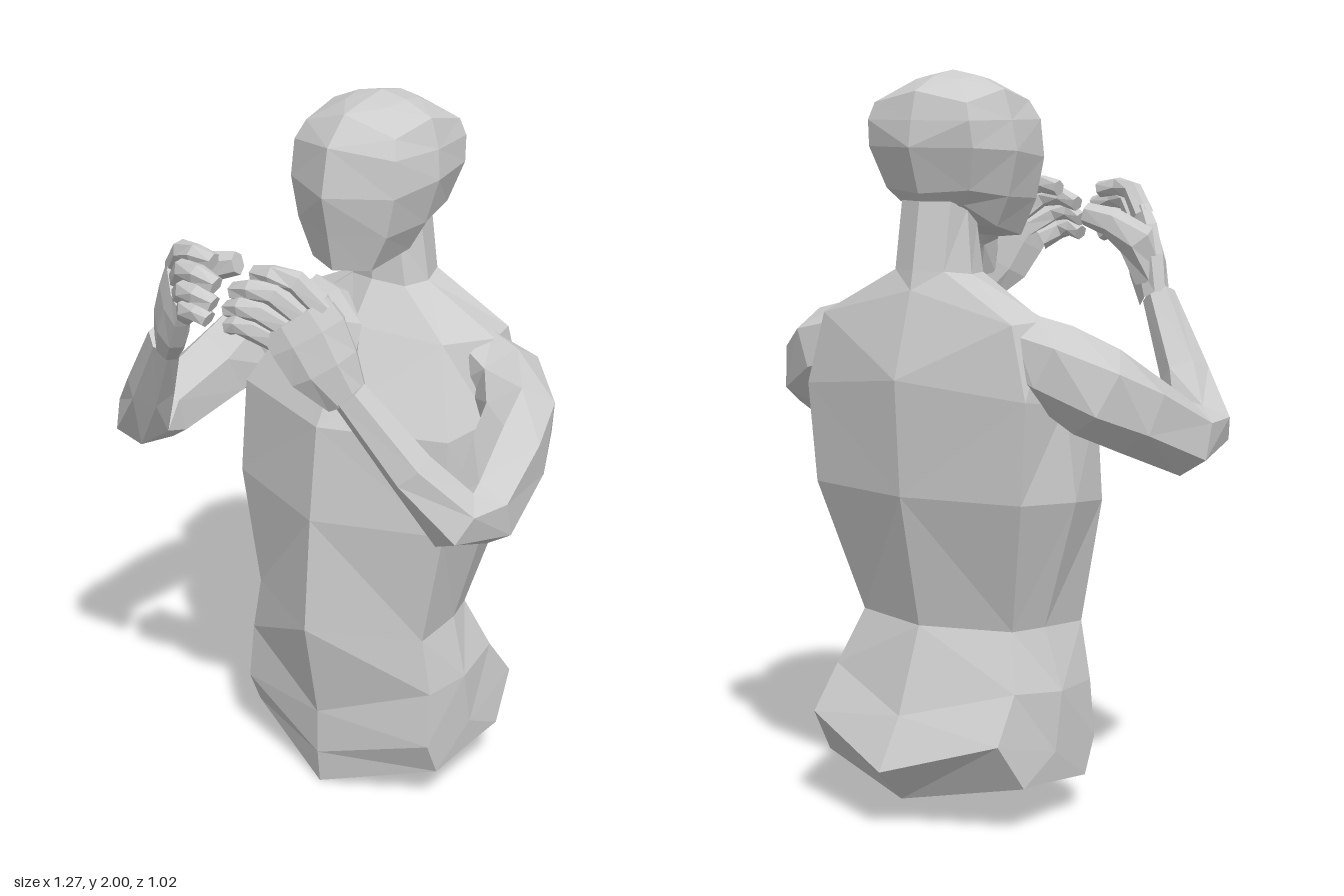
import * as THREE from 'three';

const clay = new THREE.MeshStandardMaterial({ color: 0xcccccc, flatShading: true });
clay.name = 'clay grey';

const distance = (a, b) => Math.hypot(a[0] - b[0], a[1] - b[1], a[2] - b[2]);
const centre = ring => [0, 1, 2].map(k => ring.reduce((s, p) => s + p[k], 0) / ring.length);

// Skin a stack of closed rings; an end with a tip point is closed by a fan, else left open
function loft(name, rings, startTip, endTip) {
  const pos = [];
  const tri = (a, b, c) => pos.push(...a, ...b, ...c);
  const n = rings[0].length, first = rings[0], last = rings[rings.length - 1];
  for (let j = 0; j < n; j++) {
    const k = (j + 1) % n;
    for (let i = 0; i < rings.length - 1; i++) {
      const a = rings[i][j], b = rings[i][k], c = rings[i + 1][k], d = rings[i + 1][j];
      // split each quad along its shorter diagonal, so both sides match
      if (distance(a, c) < distance(b, d)) { tri(a, b, c); tri(a, c, d); }
      else { tri(a, b, d); tri(b, c, d); }
    }
    if (startTip) tri(startTip, first[k], first[j]);
    if (endTip) tri(endTip, last[j], last[k]);
  }
  const g = new THREE.BufferGeometry();
  g.setAttribute('position', new THREE.Float32BufferAttribute(pos, 3));
  g.computeVertexNormals();
  const mesh = new THREE.Mesh(g, clay);
  mesh.name = name;
  return mesh;
}

// Complete a half ring (front centre ... back centre) by mirroring it across x
const fullRing = half => [...half, ...half.slice(1, -1).reverse().map(([x, y, z]) => [-x, y, z])];

// Rings along a path of [x, y, z, thickness, width]; width lies along ref
function limbRings(path, sides, ref) {
  const P = path.map(p => new THREE.Vector3(p[0], p[1], p[2]));
  const up = new THREE.Vector3(...ref);
  return path.map((p, i) => {
    const t = P[Math.min(i + 1, P.length - 1)].clone().sub(P[Math.max(i - 1, 0)]).normalize();
    const u = up.clone().cross(t).normalize(), v = t.clone().cross(u);
    return Array.from({ length: sides }, (_, k) => {
      const a = (k + 0.5) / sides * Math.PI * 2;
      return P[i].clone().addScaledVector(u, Math.cos(a) * p[3])
        .addScaledVector(v, Math.sin(a) * p[4]).toArray();
    });
  });
}

// One limb for the chosen side (+1 left, -1 right); its root is open, buried in the body
function limb(name, side, path, sides, ref) {
  let rings = limbRings(path, sides, ref);
  if (side < 0) rings = rings.map(r => r.map(([x, y, z]) => [-x, y, z]).reverse());
  return loft(name, rings, null, centre(rings[rings.length - 1]));
}

function buildArm(side) {
  const arm = new THREE.Group();
  arm.name = side > 0 ? 'leftArm' : 'rightArm';
  // Shoulder, elbow and forearm to the wrist
  arm.add(limb('armAndForearm', side, [
    [0.29, 1.28, -0.255, 0.09, 0.10], [0.37, 1.25, -0.255, 0.10, 0.115],
    [0.465, 1.18, -0.19, 0.105, 0.125], [0.51, 1.12, -0.08, 0.105, 0.115],
    [0.56, 1.03, 0.10, 0.088, 0.10], [0.545, 1.045, 0.205, 0.085, 0.085],
    [0.45, 1.18, 0.27, 0.068, 0.066], [0.315, 1.38, 0.35, 0.045, 0.05]], 6, [0, 1, 0]));

  // Hand: flat palm, four curled fingers, thumb
  const spread = [0.65, 0.55, -0.55];
  arm.add(limb('palm', side, [
    [0.305, 1.365, 0.345, 0.04, 0.06], [0.26, 1.45, 0.38, 0.046, 0.1],
    [0.225, 1.53, 0.40, 0.04, 0.11], [0.195, 1.58, 0.415, 0.03, 0.105]], 8, spread));
  const fingers = {
    indexFinger: [[0.25, 1.595, 0.37], [0.19, 1.665, 0.405], [0.13, 1.675, 0.425], [0.07, 1.665, 0.42]],
    middleFinger: [[0.217, 1.568, 0.397], [0.15, 1.635, 0.445], [0.09, 1.64, 0.46], [0.03, 1.62, 0.455]],
    ringFinger: [[0.183, 1.545, 0.423], [0.125, 1.59, 0.47], [0.075, 1.595, 0.48], [0.025, 1.575, 0.472]],
    littleFinger: [[0.15, 1.515, 0.44], [0.11, 1.545, 0.48], [0.07, 1.55, 0.485], [0.035, 1.535, 0.482]],
  };
  for (const [name, pts] of Object.entries(fingers)) {
    arm.add(limb(name, side, pts.map((p, i) => [...p, 0.031 - i * 0.003, 0.034 - i * 0.003]), 6, spread));
  }
  arm.add(limb('thumb', side, [
    [0.285, 1.43, 0.35, 0.042, 0.05], [0.265, 1.535, 0.31, 0.05, 0.055],
    [0.205, 1.585, 0.272, 0.04, 0.042], [0.13, 1.605, 0.26, 0.028, 0.032]], 6, [0, 1, 0]));
  return arm;
}

export function createModel() {
  const model = new THREE.Group();
  model.name = 'bust';

  // Torso, from hips over the shoulders to the neck base
  const neckBase = [[0, 1.48, -0.14], [0.09, 1.47, -0.17], [0.11, 1.47, -0.25], [0.08, 1.48, -0.33], [0, 1.48, -0.36]];
  model.add(loft('torso', [
    [[0, 0, 0.09], [0.33, 0.10, -0.03], [0.33, 0.12, -0.2], [0.33, 0.13, -0.32], [0, 0.07, -0.42]],
    [[0, 0.10, 0.10], [0.33, 0.20, 0.015], [0.335, 0.20, -0.18], [0.31, 0.26, -0.41], [0, 0.165, -0.515]],
    [[0, 0.235, 0.10], [0.325, 0.36, 0], [0.335, 0.36, -0.15], [0.30, 0.38, -0.32], [0, 0.30, -0.43]],
    [[0, 0.52, 0.155], [0.295, 0.52, 0], [0.285, 0.53, -0.16], [0.25, 0.53, -0.26], [0, 0.53, -0.34]],
    [[0, 0.85, 0.13], [0.36, 0.86, 0], [0.39, 0.88, -0.17], [0.34, 0.89, -0.35], [0, 0.89, -0.42]],
    [[0, 1.12, 0.10], [0.355, 1.13, -0.02], [0.37, 1.14, -0.19], [0.36, 1.16, -0.36], [0, 1.20, -0.44]],
    [[0, 1.37, -0.06], [0.25, 1.35, -0.13], [0.345, 1.36, -0.24], [0.31, 1.355, -0.35], [0, 1.43, -0.37]],
    neckBase,
  ].map(fullRing), [0, 0.02, -0.17]));

  // Neck
  model.add(loft('neck', [
    neckBase,
    [[0, 1.59, -0.15], [0.07, 1.60, -0.17], [0.09, 1.64, -0.24], [0.08, 1.66, -0.3], [0, 1.66, -0.33]],
  ].map(fullRing)));

  // Head, from jaw to broad crown
  model.add(loft('head', [
    [[0, 1.55, 0.03], [0.10, 1.56, -0.01], [0.12, 1.59, -0.15], [0.10, 1.65, -0.27], [0, 1.64, -0.30]],
    [[0, 1.65, 0.05], [0.15, 1.66, -0.01], [0.165, 1.67, -0.16], [0.135, 1.69, -0.295], [0, 1.68, -0.335]],
    [[0, 1.76, 0.075], [0.175, 1.77, -0.01], [0.20, 1.79, -0.17], [0.17, 1.80, -0.325], [0, 1.80, -0.375]],
    [[0, 1.89, 0.05], [0.17, 1.87, -0.02], [0.19, 1.87, -0.18], [0.165, 1.87, -0.335], [0, 1.87, -0.365]],
    [[0, 1.965, -0.02], [0.15, 1.92, -0.045], [0.165, 1.95, -0.18], [0.15, 1.915, -0.325], [0, 1.945, -0.345]],
    [[0, 1.985, -0.10], [0.07, 1.975, -0.11], [0.08, 1.985, -0.18], [0.07, 1.975, -0.25], [0, 1.985, -0.26]],
  ].map(fullRing), [0, 1.59, -0.15], [0, 2.0, -0.18]));

  // Arms raised in front of the face
  for (const side of [1, -1]) model.add(buildArm(side));
  return model;
}
